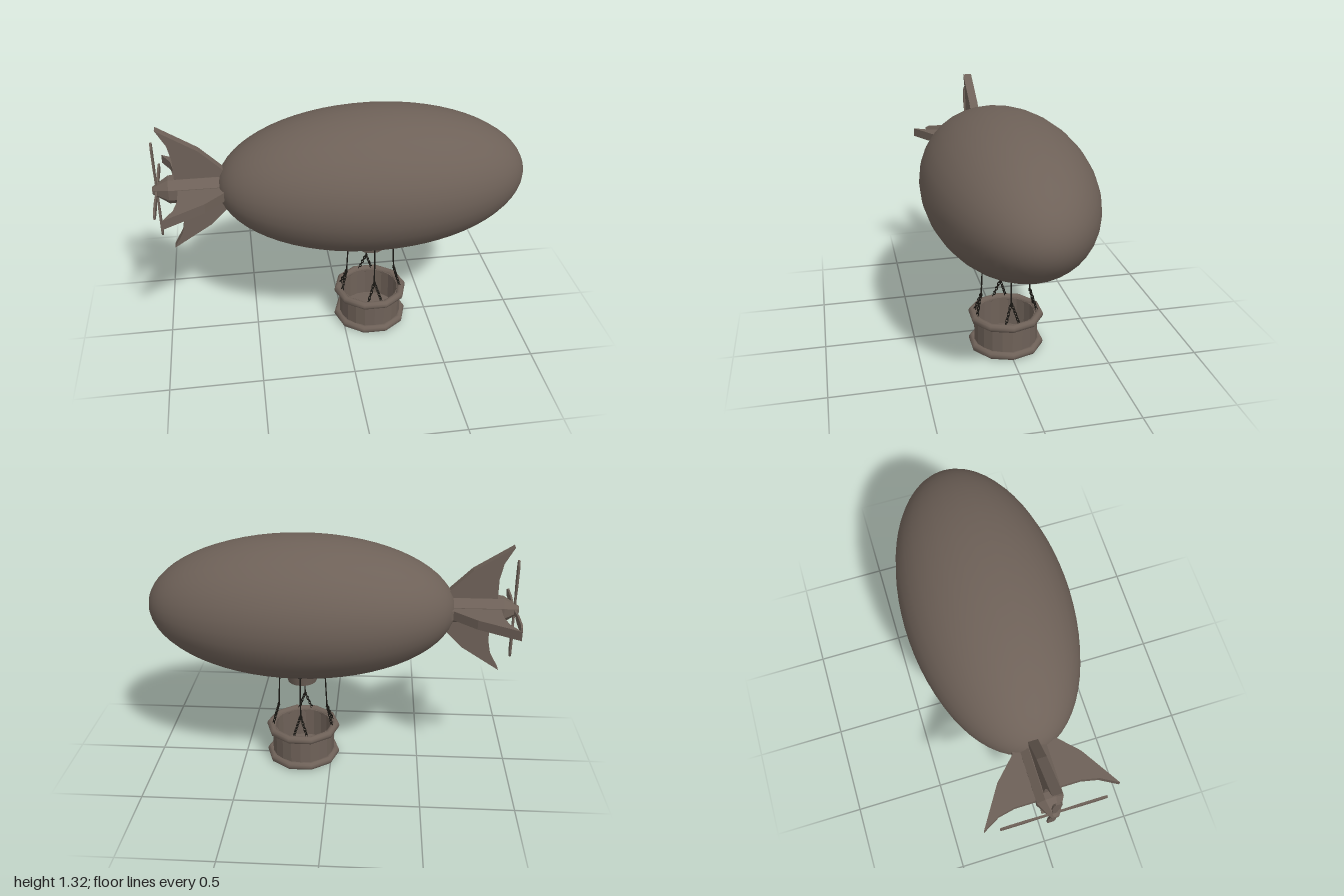
import * as THREE from 'three';

const CX = 0.165;      // centre line of balloon and basket
const TAIL_Y = 0.942;  // height of the tail axis

export function createModel() {
  const root = new THREE.Group();
  root.name = 'airship';
  const brown = new THREE.MeshStandardMaterial({ color: 0x6e6158 });
  brown.name = 'brown canvas';
  const dark = new THREE.MeshStandardMaterial({ color: 0x1a1814 });
  dark.name = 'dark rope';

  const add = (parent, name, geo, mat = brown) => {
    const mesh = new THREE.Mesh(geo, mat);
    mesh.name = name;
    parent.add(mesh);
    return mesh;
  };
  const group = (name, x, y, z) => {
    const g = new THREE.Group();
    g.name = name;
    g.position.set(x, y, z);
    root.add(g);
    return g;
  };
  const lathe = (pts, sides) =>
    new THREE.LatheGeometry(pts.map(p => new THREE.Vector2(...p)), sides);
  const faceted = geo => {
    const g = geo.toNonIndexed();
    g.computeVertexNormals();
    return g;
  };

  // Balloon, poles along x
  const balloon = new THREE.SphereGeometry(1, 32, 32);
  balloon.rotateZ(Math.PI / 2);
  balloon.scale(0.83, 0.386, 0.445);
  add(root, 'balloon', balloon).position.set(CX, 0.938, 0);

  // Tail boom with tapered end
  const tail = group('tail', 0, TAIL_Y, 0);
  const boom = lathe([[0, -0.55], [0.074, -0.55], [0.074, 0.915], [0.027, 0.99], [0.02, 1.0], [0, 1.0]]
    .map(([r, d]) => [r, Math.max(d, 0.55)]), 8);
  boom.rotateY(Math.PI / 8);
  boom.rotateZ(Math.PI / 2);
  add(tail, 'tailBoom', faceted(boom));

  // Four swept fins
  const finShape = new THREE.Shape([
    [-0.55, 0], [-0.55, 0.13], [-0.63, 0.108], [-0.745, 0.222], [-0.95, 0.352],
    [-0.9, 0.262], [-0.882, 0.175], [-0.882, 0.03],
  ].map(p => new THREE.Vector2(...p)));
  const finGeo = new THREE.ExtrudeGeometry(finShape, { depth: 0.05, bevelEnabled: false });
  finGeo.translate(0, 0, -0.025);
  [0, 0.015, 0.03, -0.018].forEach((dx, i) => {
    const fin = add(tail, 'tailFin', finGeo);
    fin.rotation.x = i * Math.PI / 2;
    fin.position.x = dx;
  });

  // Propeller with four blades
  const propeller = new THREE.Group();
  propeller.name = 'propeller';
  propeller.position.x = -0.978;
  tail.add(propeller);
  const bladeShape = new THREE.Shape([
    [-0.01, 0], [-0.012, 0.08], [-0.022, 0.14], [-0.022, 0.25], [-0.012, 0.273],
    [0.012, 0.273], [0.022, 0.25], [0.022, 0.14], [0.012, 0.08], [0.01, 0],
  ].map(p => new THREE.Vector2(...p)));
  const bladeGeo = new THREE.ExtrudeGeometry(bladeShape, { depth: 0.01, bevelEnabled: false });
  bladeGeo.translate(0, 0, -0.005);
  bladeGeo.rotateY(Math.PI / 2);
  for (let i = 0; i < 4; i++) add(propeller, 'blade', bladeGeo).rotation.x = i * Math.PI / 2;

  // Burner housing under the balloon
  add(root, 'burnerHousing', new THREE.CylinderGeometry(0.103, 0.081, 0.1, 20))
    .position.set(CX, 0.535, 0);

  // Basket: hollow shell with floor
  const basket = group('basket', CX, 0, 0);
  add(basket, 'basketShell', faceted(lathe([
    [0, 0.012], [0.178, 0.012], [0.178, 0.2], [0.16, 0.2], [0.16, 0.03], [0, 0.03],
  ], 20)));

  // Ten-sided padded rims
  const rimGeo = new THREE.TorusGeometry(0.188, 0.0225, 10, 10);
  rimGeo.rotateX(Math.PI / 2);
  [0.0225, 0.193].forEach(y => { add(basket, 'basketRim', rimGeo).position.y = y; });

  // Rigging: a rope on each side, splitting into two chains
  const rigging = group('rigging', CX, 0, 0);
  const linkGeo = new THREE.TorusGeometry(0.0075, 0.0024, 5, 10);
  linkGeo.scale(1, 1.6, 1);
  const up = new THREE.Vector3(0, 1, 0);
  for (let i = 0; i < 4; i++) {
    const side = new THREE.Group();
    side.name = 'ropeSet';
    side.rotation.y = i * Math.PI / 2;
    rigging.add(side);

    const knot = new THREE.Vector3(0, 0.325, 0.138);
    const rope = new THREE.LineCurve3(new THREE.Vector3(0, 0.575, 0.126), knot);
    add(side, 'rope', new THREE.TubeGeometry(rope, 1, 0.004, 6), dark);
    add(side, 'knot', new THREE.CylinderGeometry(0.004, 0.007, 0.025, 6), dark).position.copy(knot);
    add(side, 'ropeAnchor', new THREE.BoxGeometry(0.02, 0.008, 0.06), dark).position.set(0, 0.562, 0.108);

    for (const s of [-1, 1]) {
      const end = new THREE.Vector3(s * 0.038, 0.208, 0.17);
      const turn = new THREE.Quaternion().setFromUnitVectors(up, knot.clone().sub(end).normalize());
      for (let k = 0; k < 7; k++) {
        const link = add(side, 'chainLink', linkGeo, dark);
        link.position.lerpVectors(knot, end, (k + 0.5) / 7);
        const twist = new THREE.Quaternion().setFromAxisAngle(up, (k % 2) * Math.PI / 2 + Math.PI / 4);
        link.quaternion.copy(turn).multiply(twist);
      }
    }
  }

  return root;
}
